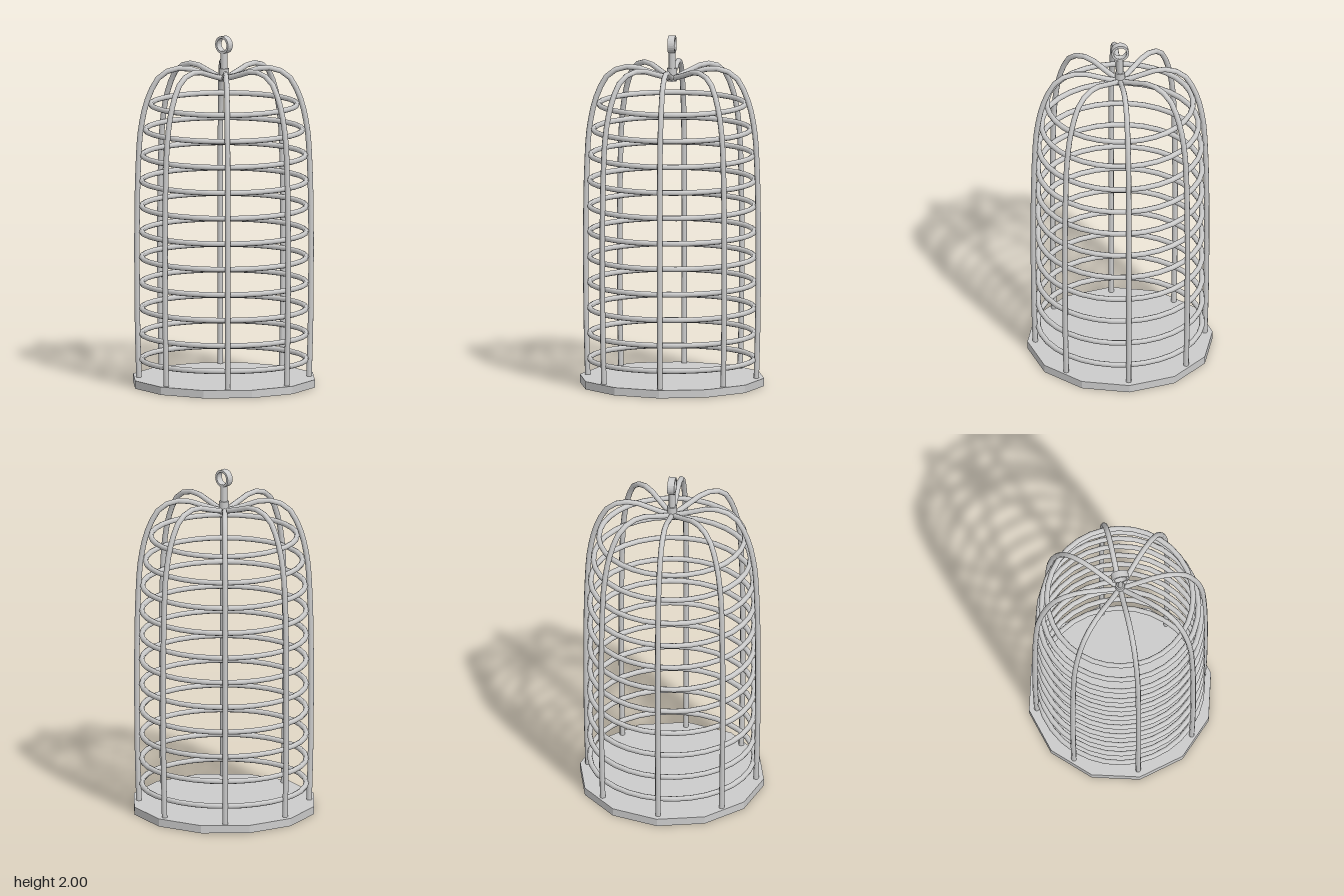
import * as THREE from 'three';

export function createModel() {
  const cage = new THREE.Group();
  cage.name = 'birdcage';
  const smooth = new THREE.MeshStandardMaterial({ color: 0xcccccc });
  const flat = new THREE.MeshStandardMaterial({ color: 0xcccccc, flatShading: true });

  const add = (name, geometry, material, y = 0) => {
    const mesh = new THREE.Mesh(geometry, material);
    mesh.name = name;
    mesh.position.y = y;
    cage.add(mesh);
    return mesh;
  };

  // Twelve-sided floor plate
  add('base', new THREE.CylinderGeometry(0.528, 0.528, 0.045, 12), flat, 0.0225);

  // Eight upright ribs that arch over and dip to the centre
  const profile = [
    [0.483, 0.04], [0.491, 0.35], [0.494, 0.7], [0.493, 1.0], [0.487, 1.25], [0.472, 1.47],
    [0.43, 1.65], [0.36, 1.775], [0.27, 1.815], [0.19, 1.812], [0.1, 1.782], [0, 1.755],
  ].map(([r, y]) => new THREE.Vector3(r, y, 0));
  const ribGeometry = new THREE.TubeGeometry(new THREE.CatmullRomCurve3(profile), 32, 0.0155, 8);
  for (let i = 0; i < 8; i++) {
    add('rib', ribGeometry, smooth).rotation.y = (i * Math.PI) / 4;
  }

  // Horizontal hoops just inside the ribs, narrowing near the dome
  const hoopRadii = [0.467, 0.467, 0.467, 0.467, 0.467, 0.467, 0.467, 0.467, 0.462, 0.446, 0.415];
  hoopRadii.forEach((radius, i) => {
    const hoop = new THREE.TorusGeometry(radius, 0.0155, 8, 32);
    hoop.rotateX(Math.PI / 2);
    add('hoop', hoop, smooth, 0.147 + i * 0.1462);
  });

  // Collar where the ribs meet, and the short post above it
  add('collar', new THREE.CylinderGeometry(0.028, 0.028, 0.075, 8), smooth, 1.777);
  add('post', new THREE.CylinderGeometry(0.019, 0.019, 0.16, 8), smooth, 1.835);

  // Flat-banded hanging ring
  const band = new THREE.Shape().absarc(0, 0, 0.05, 0, Math.PI * 2);
  band.holes.push(new THREE.Path().absarc(0, 0, 0.037, 0, Math.PI * 2, true));
  const ring = new THREE.ExtrudeGeometry(band, { depth: 0.04, bevelEnabled: false, curveSegments: 12 });
  ring.translate(0, 0, -0.02);
  add('hangingRing', ring, flat, 1.95);

  return cage;
}
